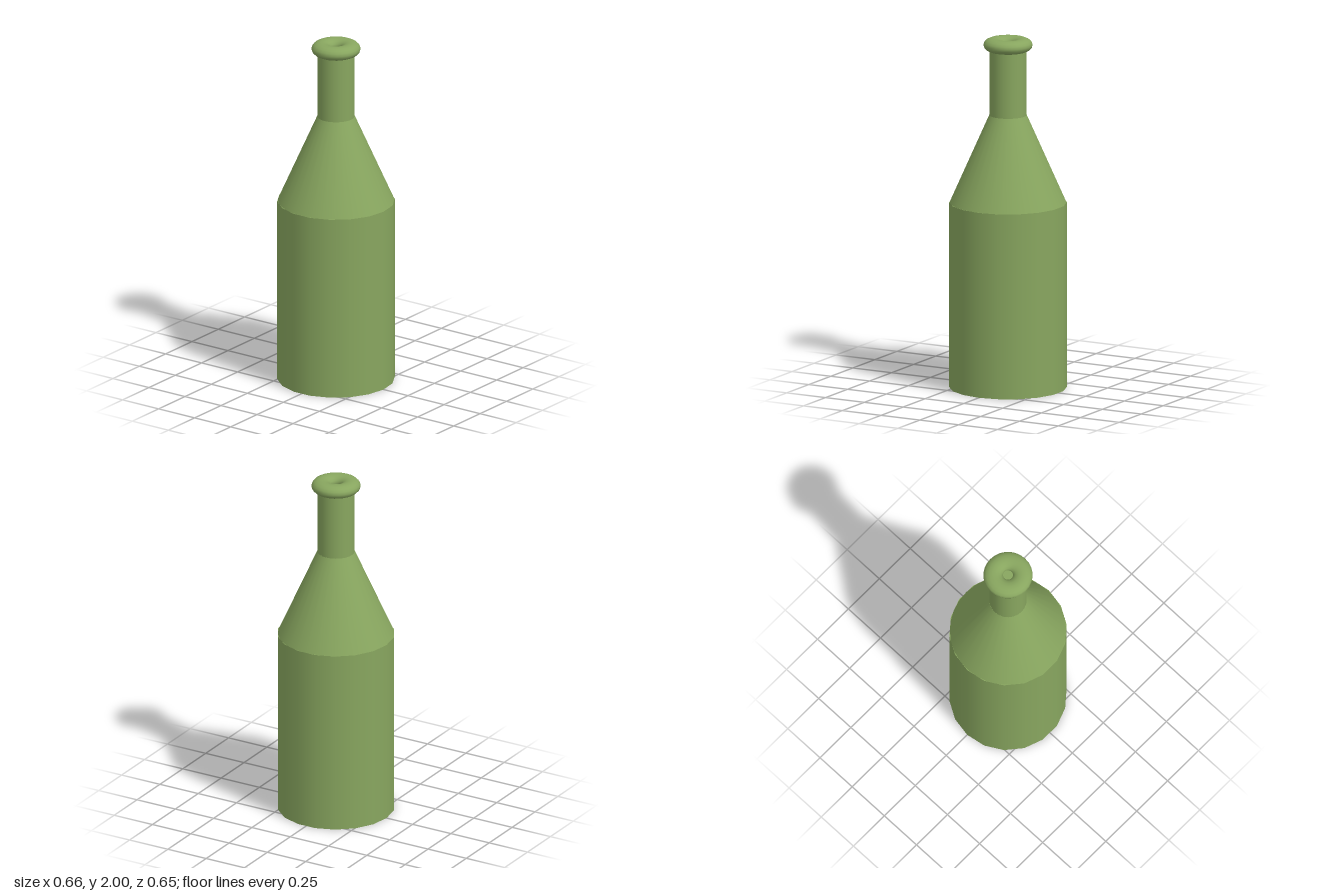
import * as THREE from 'three';

export function createModel() {
  const bottle = new THREE.Group();
  bottle.name = 'bottle';

  const glass = new THREE.MeshStandardMaterial({ color: 0x88a65f });
  glass.name = 'olive green glass';

  // Round section standing between two heights, with a corner on the x axis
  function section(name, rTop, rBottom, y0, y1, sides) {
    const geometry = new THREE.CylinderGeometry(rTop, rBottom, y1 - y0, sides);
    geometry.rotateY(Math.PI / 2);
    const mesh = new THREE.Mesh(geometry, glass);
    mesh.name = name;
    mesh.position.y = (y0 + y1) / 2;
    bottle.add(mesh);
  }

  section('body', 0.33, 0.33, 0, 1.06, 18);
  section('shoulder', 0.105, 0.326, 1.06, 1.56, 32);
  section('neck', 0.105, 0.105, 1.56, 1.96, 24);

  // Flattened ring around the mouth
  const ring = new THREE.TorusGeometry(0.083, 0.055, 16, 28);
  ring.rotateX(Math.PI / 2);
  ring.scale(1, 0.69, 1);
  const lip = new THREE.Mesh(ring, glass);
  lip.name = 'lip';
  lip.position.y = 1.962;
  bottle.add(lip);

  return bottle;
}
